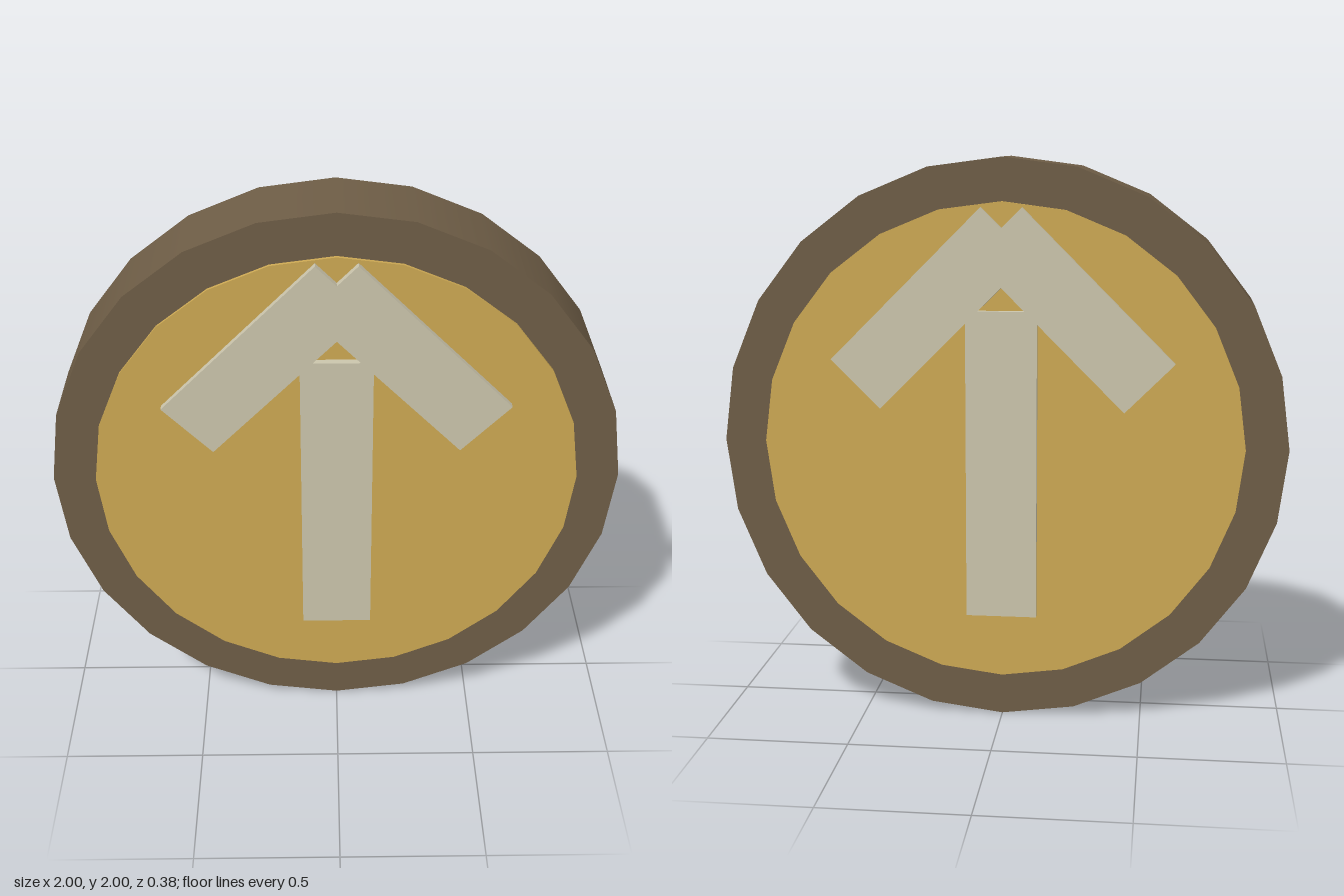
import * as THREE from 'three';

const mat = (name, color) => {
  const m = new THREE.MeshStandardMaterial({ color });
  m.name = name;
  return m;
};

export function createModel() {
  const brown = mat('dark bronze', 0x6e5d46);
  const gold = mat('gold', 0xcca853);
  const pale = mat('pale stone', 0xcbc5ac);
  const model = new THREE.Group();
  model.name = 'arrowToken';

  const add = (name, geometry, material, x, y, turn = 0) => {
    const mesh = new THREE.Mesh(geometry, material);
    mesh.name = name;
    mesh.position.set(x, y, 0);
    mesh.rotation.z = turn;
    model.add(mesh);
  };
  // 24-sided disc with its axis along z
  const disc = (radius, depth) =>
    new THREE.CylinderGeometry(radius, radius, depth, 24).rotateX(Math.PI / 2);

  // Thick rim body and the slightly proud gold faces
  add('rim', disc(1, 0.3), brown, 0, 1);
  add('goldFace', disc(0.85, 0.324), gold, 0, 1);

  // Raised arrow, running through the disc so it shows on both faces
  const depth = 0.376;
  add('arrowStem', new THREE.BoxGeometry(0.25, 1.095, depth), pale, 0, 0.9275);
  for (const side of [-1, 1]) {
    add(side > 0 ? 'leftArrowArm' : 'rightArrowArm',
      new THREE.BoxGeometry(0.75, 0.244, depth), pale,
      side * 0.25, 1.479, -side * Math.PI / 4);
  }
  return model;
}
